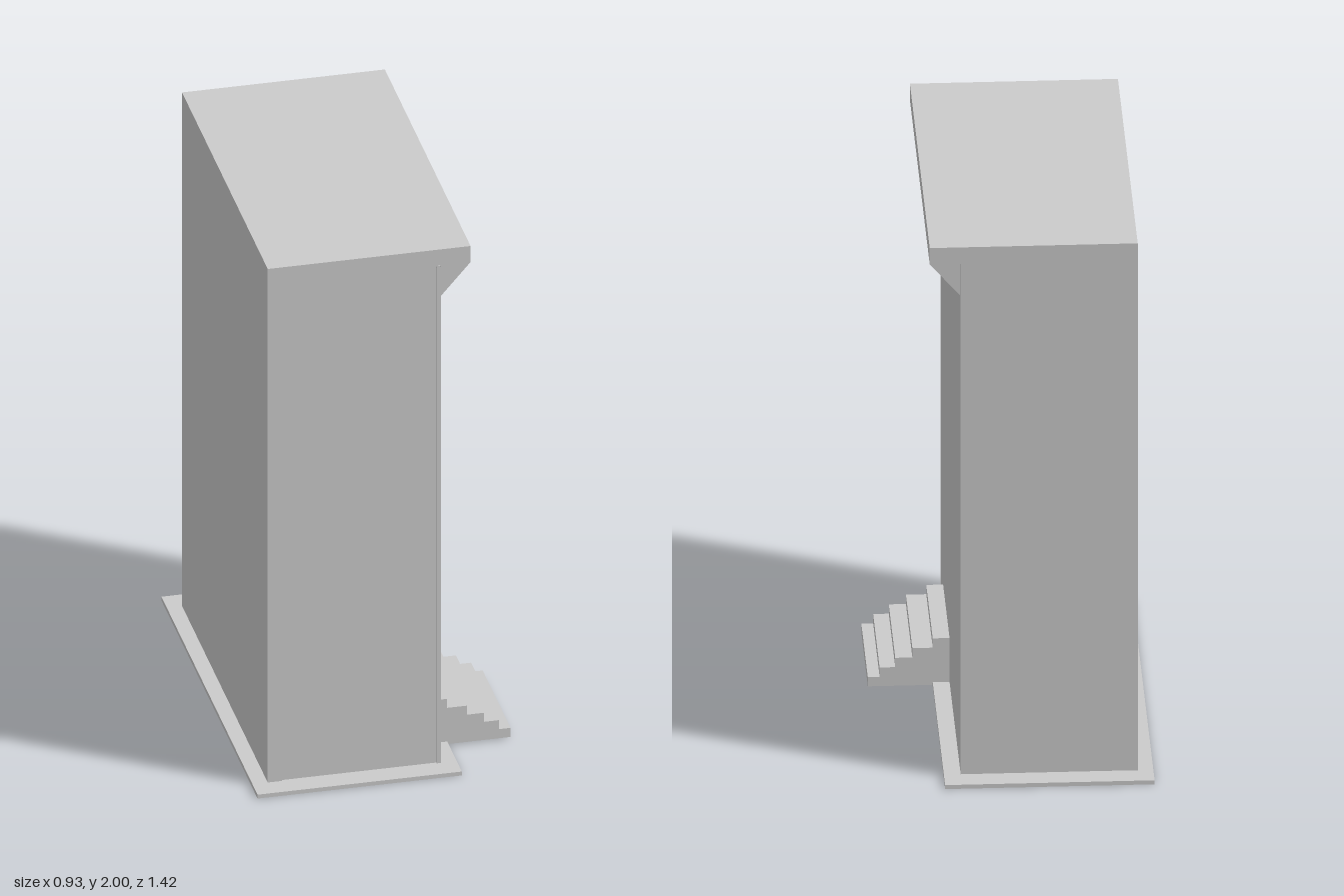
import * as THREE from 'three';

const material = new THREE.MeshStandardMaterial({ color: 0xcccccc, flatShading: true });

function addMesh(group, name, geometry) {
  const mesh = new THREE.Mesh(geometry, material);
  mesh.name = name;
  group.add(mesh);
}

// Box given by its lowest and highest corner
function box([x0, y0, z0], [x1, y1, z1]) {
  return new THREE.BoxGeometry(x1 - x0, y1 - y0, z1 - z0)
    .translate((x0 + x1) / 2, (y0 + y1) / 2, (z0 + z1) / 2);
}

// Side profile in x, y extruded from z0 to z1
function profile(points, z0, z1) {
  const shape = new THREE.Shape(points.map(([x, y]) => new THREE.Vector2(x, y)));
  return new THREE.ExtrudeGeometry(shape, { depth: z1 - z0, bevelEnabled: false }).translate(0, 0, z0);
}

export function createModel() {
  const model = new THREE.Group();
  model.name = 'building';

  // Ground slab
  addMesh(model, 'baseSlab', box([-0.465, 0, -0.712], [0.245, 0.015, 0.712]));

  // Main block, set slightly back inside the shell
  addMesh(model, 'mainBlock', box([-0.365, 0.015, -0.631], [0.188, 1.945, 0.631]));

  // Rear wall, roof and sloping eave in one continuous shell
  addMesh(model, 'wallAndRoofShell', profile([
    [-0.412, 0.015], [-0.362, 0.015], [-0.362, 1.938], [0.19, 1.938],
    [0.19, 1.82], [0.293, 1.938], [0.293, 2], [-0.412, 2],
  ], -0.633, 0.637));

  // Slim trim with a rounded top on the front corner
  addMesh(model, 'cornerTrim', box([0.175, 0.015, 0.625], [0.19, 1.93, 0.637]));
  addMesh(model, 'cornerTrimCap',
    new THREE.CylinderGeometry(0.0075, 0.0075, 0.012, 12).rotateX(Math.PI / 2).translate(0.1825, 1.93, 0.631));

  // Entrance stairs
  const treadEnds = [0.465, 0.425, 0.372, 0.314, 0.245];
  const outline = [[0.185, 0.005], [treadEnds[0], 0.005]];
  treadEnds.forEach((x, i) => {
    const y = 0.04 + i * 0.035;
    outline.push([x, y], [treadEnds[i + 1] ?? 0.185, y]);
  });
  addMesh(model, 'stairs', profile(outline, 0.083, 0.496));

  return model;
}
